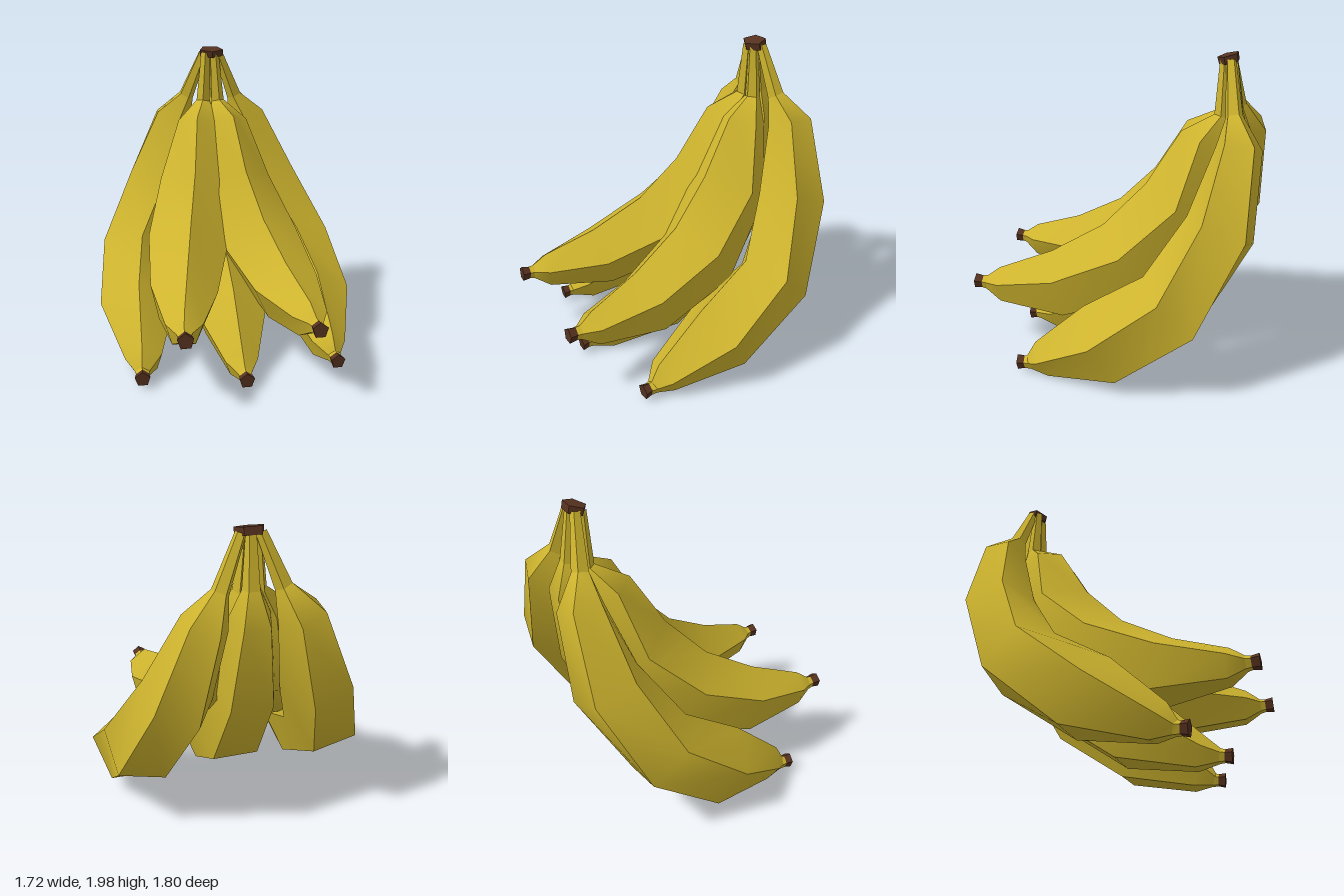
import * as THREE from 'three';

const yellow = new THREE.MeshStandardMaterial({ color: 0xceb42e });
yellow.name = 'ripe yellow';
const brown = new THREE.MeshStandardMaterial({ color: 0x56321f });
brown.name = 'dry brown';

const SIDES = 5;

// Five-sided rings along a path of [x, y, z, radius, twist]; one ridge faces the inside of the bend.
// side: 1 as drawn (-x), -1 mirrored (+x)
function makeRings(path, side) {
  const centres = path.map(([x, y, z]) => new THREE.Vector3(x * side, y, z));
  return path.map(([, , , r, twist], i) => {
    const t = centres[Math.min(i + 1, path.length - 1)].clone()
      .sub(centres[Math.max(i - 1, 0)]).normalize();
    const s = new THREE.Vector3(1, 0, twist * side);
    s.addScaledVector(t, -s.dot(t)).normalize();
    const n = t.clone().cross(s);
    return Array.from({ length: SIDES }, (_, j) => {
      const a = Math.PI / 2 + (j / SIDES) * Math.PI * 2;
      return centres[i].clone()
        .addScaledVector(s, r * Math.cos(a))
        .addScaledVector(n, r * Math.sin(a));
    });
  });
}

// Skin between rings: each side is its own strip, smooth lengthwise with sharp ridges
function skin(rings, closeEnd) {
  const pos = [], idx = [];
  for (let j = 0; j < SIDES; j++) {
    const base = pos.length / 3;
    for (const ring of rings) pos.push(...ring[j], ...ring[(j + 1) % SIDES]);
    for (let i = 0; i < rings.length - 1; i++) {
      const a = base + i * 2;
      idx.push(a, a + 1, a + 2, a + 1, a + 3, a + 2);
    }
  }
  if (closeEnd) {
    const base = pos.length / 3;
    for (const p of rings[rings.length - 1]) pos.push(...p);
    for (let j = 1; j < SIDES - 1; j++) idx.push(base, base + j, base + j + 1);
  }
  const g = new THREE.BufferGeometry();
  g.setAttribute('position', new THREE.Float32BufferAttribute(pos, 3));
  g.setIndex(idx);
  g.computeVertexNormals();
  return g;
}

// Paths run from the shared stem to the blossom tip
const outerPath = [
  [-0.055, 1.96, -0.68, 0.032, -0.25],
  [-0.178, 1.655, -0.725, 0.054, -0.25],
  [-0.275, 1.495, -0.772, 0.143, -0.25],
  [-0.42, 1.025, -0.705, 0.225, -0.25],
  [-0.595, 0.582, -0.455, 0.25, -0.22],
  [-0.61, 0.3, -0.04, 0.262, -0.03],
  [-0.602, 0.122, 0.36, 0.122, 0.3],
  [-0.62, 0.085, 0.45, 0.048, 0.3],
  [-0.622, 0.083, 0.48, 0.042, 0.3],
  [-0.625, 0.08, 0.525, 0.05, 0.3],
];
const upperPath = [
  [-0.03, 1.96, -0.645, 0.032, 0.2],
  [-0.05, 1.62, -0.645, 0.05, 0.2],
  [-0.095, 1.48, -0.545, 0.15, 0.24],
  [-0.12, 1.05, -0.43, 0.275, 0.24],
  [-0.25, 0.69, -0.105, 0.28, -0.05],
  [-0.335, 0.515, 0.33, 0.222, -0.45],
  [-0.375, 0.485, 0.72, 0.116, -0.45],
  [-0.385, 0.49, 0.815, 0.048, -0.45],
  [-0.386, 0.492, 0.845, 0.042, -0.45],
  [-0.388, 0.495, 0.895, 0.05, -0.45],
];
const middlePath = [
  [0, 1.96, -0.69, 0.032, 0],
  [0, 1.65, -0.72, 0.056, 0],
  [0, 1.48, -0.73, 0.13, 0],
  [0, 1.0, -0.62, 0.22, 0],
  [0, 0.53, -0.33, 0.25, 0],
  [0, 0.27, 0.08, 0.258, 0],
  [0, 0.1, 0.475, 0.11, 0],
  [0, 0.085, 0.585, 0.048, 0],
  [0, 0.083, 0.615, 0.042, 0],
  [0, 0.08, 0.66, 0.05, 0],
];

function makeBanana(name, path, side) {
  const rings = makeRings(path, side);
  const banana = new THREE.Group();
  banana.name = name;
  const add = (part, from, to, material, closeEnd = false) => {
    const mesh = new THREE.Mesh(skin(rings.slice(from, to + 1), closeEnd), material);
    mesh.name = part;
    banana.add(mesh);
  };
  add('neck', 0, 1, yellow);
  add('body', 1, 7, yellow);
  add('collar', 7, 8, yellow);
  add('tip', 8, 9, brown, true);
  return banana;
}

export function createModel() {
  const bunch = new THREE.Group();
  bunch.name = 'bananaBunch';

  for (const [label, side] of [['Right', 1], ['Left', -1]]) {
    bunch.add(makeBanana('outerBanana' + label, outerPath, side));
    const upper = makeBanana('upperBanana' + label, upperPath, side);
    upper.position.x = -0.012;
    bunch.add(upper);
  }
  bunch.add(makeBanana('middleBanana', middlePath, 1));

  // Cut end of the shared stem
  const cap = new THREE.Mesh(
    new THREE.CylinderGeometry(0.068, 0.066, 0.046, SIDES).toNonIndexed(), brown);
  cap.geometry.computeVertexNormals();
  cap.name = 'stemCap';
  cap.scale.x = 1.3;
  cap.rotation.x = 0.25;
  cap.position.set(0, 1.963, -0.665);
  bunch.add(cap);

  return bunch;
}
